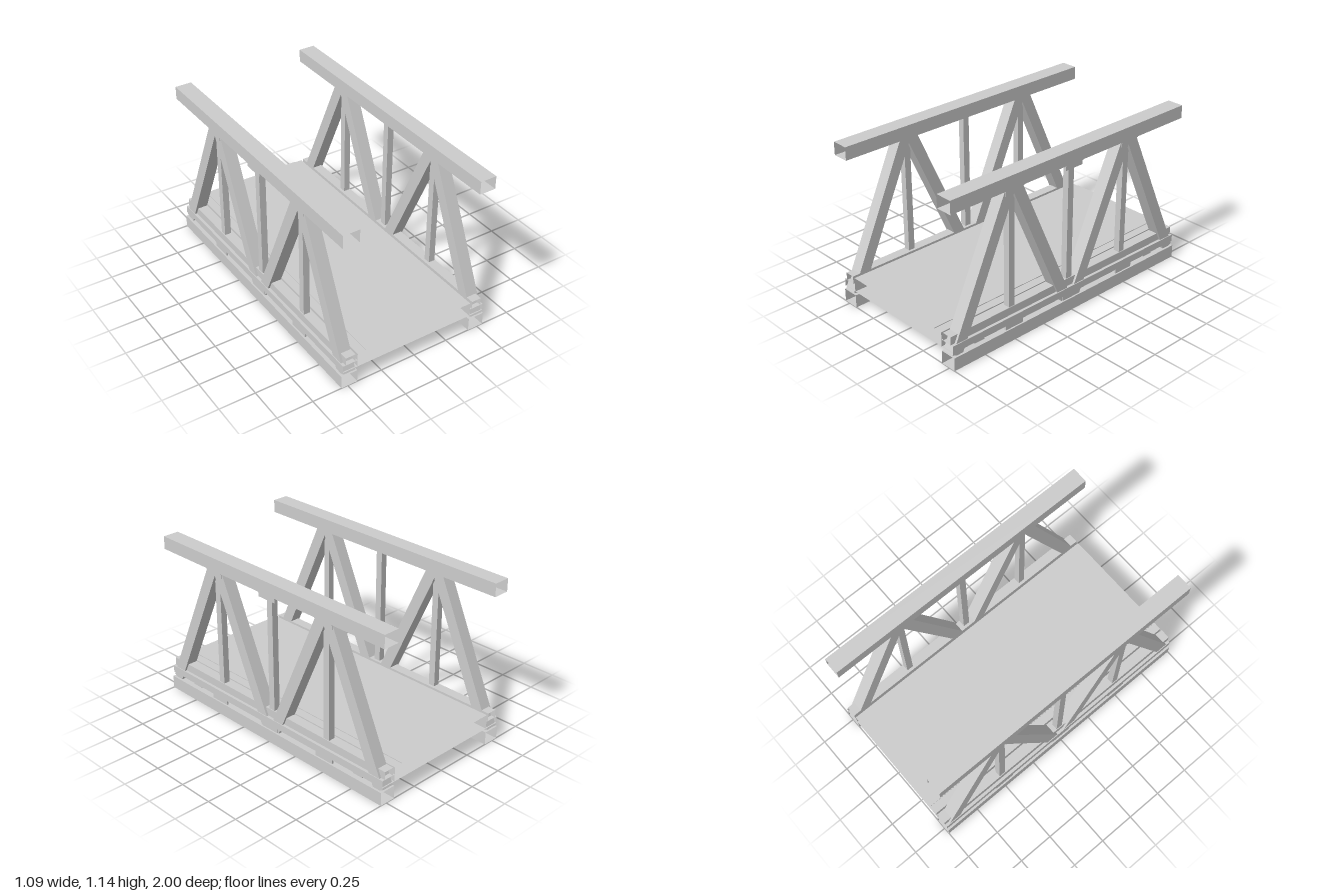
import * as THREE from 'three';

export function createModel() {
  const model = new THREE.Group();
  model.name = 'trussBridge';
  const steel = new THREE.MeshStandardMaterial({ color: 0xcccccc, side: THREE.DoubleSide });
  steel.name = 'steelGrey';

  // Closed box given by its limits on each axis
  function block(name, x0, x1, y0, y1, z0, z1, parent = model) {
    const mesh = new THREE.Mesh(new THREE.BoxGeometry(x1 - x0, y1 - y0, z1 - z0), steel);
    mesh.position.set((x0 + x1) / 2, (y0 + y1) / 2, (z0 + z1) / 2);
    mesh.name = name;
    parent.add(mesh);
    return mesh;
  }

  // Hollow section running the full length, with both ends open
  function openTube(name, x0, x1, y0, y1, parent = model) {
    const mesh = block(name, x0, x1, y0, y1, -1, 1, parent);
    const index = mesh.geometry.index;
    mesh.geometry.setIndex(Array.from(index.array).slice(0, 24)); // drop the two z faces
    mesh.geometry.clearGroups();
    return mesh;
  }

  // Hollow deck with a thin walking surface, and the beams under it
  openTube('deck', -0.43, 0.43, 0.12, 0.22);
  openTube('deckSurface', -0.37, 0.37, 0.22, 0.225);
  for (const z of [-0.77, 0, 0.77]) {
    block('crossBeam', -0.51, 0.51, 0, 0.119, z - 0.04, z + 0.04);
  }

  for (const side of [-1, 1]) {
    const truss = new THREE.Group();
    truss.name = side > 0 ? 'leftTruss' : 'rightTruss';
    model.add(truss);
    // Limits measured outward from the middle, mirrored for each side
    const span = (a, b) => (side > 0 ? [a, b] : [-b, -a]);

    // Long members
    openTube('bottomChord', ...span(0.43, 0.545), 0, 0.09, truss);
    openTube('topChord', ...span(0.43, 0.545), 1.05, 1.14, truss);
    openTube('lowerRail', ...span(0.43, 0.535), 0.12, 0.17, truss);
    openTube('upperRail', ...span(0.445, 0.515), 0.17, 0.225, truss);

    // Sloping braces, two to each peak
    for (const peak of [-0.5, 0.5]) {
      for (const dir of [-1, 1]) {
        const brace = new THREE.Mesh(new THREE.BoxGeometry(0.085, 1.094, 0.08), steel);
        brace.position.set(side * 0.4875, 0.585, peak + dir * 0.237);
        brace.rotation.x = -dir * 0.426;
        brace.name = 'diagonalBrace';
        truss.add(brace);
      }
    }

    // Posts, with joint plates and bolt strips at both ends
    for (const z of [-0.5, 0, 0.5]) {
      block('post', ...span(0.465, 0.51), 0.17, 1.06, z - 0.0235, z + 0.0235, truss);
      for (const [y0, y1, boltY] of [[1.012, 1.1, 1.05], [0.045, 0.13, 0.082]]) {
        block('jointPlate', ...span(0.522, 0.534), y0, y1, z - 0.073, z + 0.073, truss);
        block('boltStrip', ...span(0.534, 0.541), boltY - 0.007, boltY + 0.007, z - 0.073, z + 0.073, truss);
      }
    }
  }
  return model;
}
